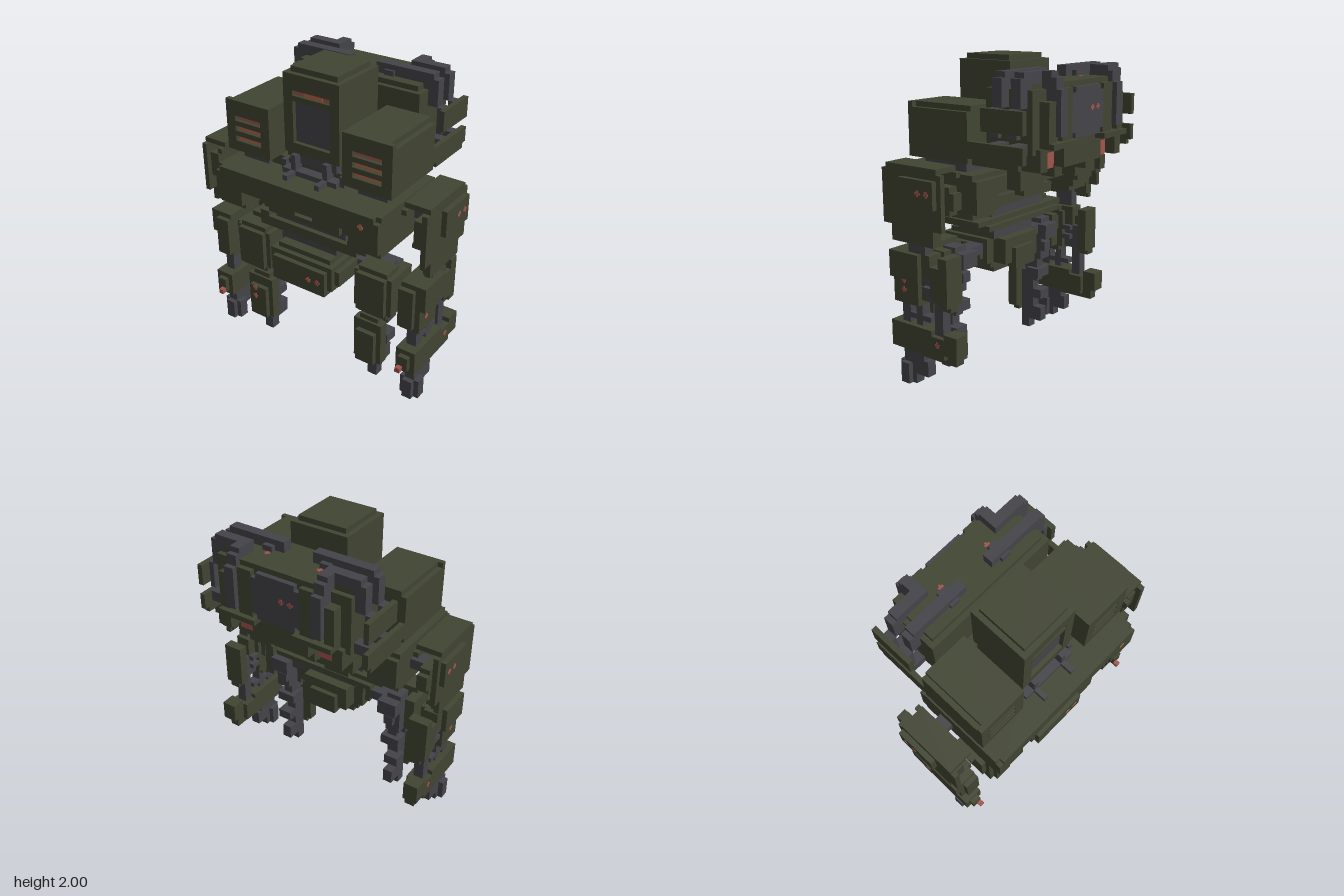
import * as THREE from 'three';
import { mergeGeometries } from 'three/addons/utils/BufferGeometryUtils.js';

const V = 1 / 30; // one block of the grid
const mat = (name, color) => {
  const m = new THREE.MeshStandardMaterial({ color });
  m.name = name;
  return m;
};

export function createModel() {
  const green = mat('olive armour', 0x414532);
  const grey = mat('dark grey metal', 0x444349);
  const red = mat('dull red light', 0xa0544c);
  const orange = mat('orange light', 0xb9644a);
  const root = new THREE.Group();
  root.name = 'walkingMachine';

  // Box from block limits [x0, x1, y0, y1, z0, z1]
  const box = ([a, b, c, d, e, f]) => new THREE.BoxGeometry((b - a) * V, (d - c) * V, (f - e) * V)
    .translate((a + b) / 2 * V, (c + d) / 2 * V, (e + f) / 2 * V);
  const add = (name, m, boxes) => {
    const mesh = new THREE.Mesh(mergeGeometries(boxes.map(box)), m);
    mesh.name = name;
    root.add(mesh);
  };
  // Box with its edges along one axis (0 x, 1 y, 2 z) cut back by a step
  const notch = (b, axis, s = 1) => [0, 1, 2].filter((k) => k !== axis).map((k) => {
    const r = b.slice();
    r[k * 2] += s;
    r[k * 2 + 1] -= s;
    return r;
  });
  const flip = ([a, b, ...r]) => [-b, -a, ...r];
  const pair = (name, m, boxes) => {
    add('left' + name, m, boxes);
    add('right' + name, m, boxes.map(flip));
  };
  // Small cross-shaped lamp, thin along the given axis
  const lamp = (axis, x, y, z) => [0, 1, 2].filter((k) => k !== axis).map((k) => [x, y, z].flatMap((v, i) => {
    const h = i === axis ? 0.08 : i === k ? 0.55 : 0.22;
    return [v - h, v + h];
  }));

  // Central tower with recessed screen and light slot
  add('tower', green, [[-6, 6, 44, 59, -2, 9], [-5, 5, 59, 60, -1, 9], [-6, -4, 44, 59, 9, 10],
    [4, 6, 44, 59, 9, 10], [-4, 4, 56, 59, 9, 10], [-4, 4, 54, 55, 9, 10], [-4, 4, 44, 46, 9, 10]]);
  add('screen', grey, [[-4, 4, 46, 54, 8.9, 9.15]]);
  add('screenLight', red, [[-4, 4, 55, 56, 8.9, 9.3]]);
  add('screenLightCentre', orange, [[-2, 2, 55, 56, 9, 9.4]]);
  pair('TowerCollar', grey, [[6, 7, 40, 42, 7, 10], [0, 6, 40, 41, 9, 11]]);
  add('towerNeck', grey, [[-5, 5, 42, 44, -1, 9.5]]);
  pair('TowerStrut', grey, [[3, 4, 40, 41, 10, 13.5], [3, 4, 41, 44, 9, 11]]);

  // Side pods with slatted windows
  pair('Pod', green, [[8, 18, 42, 51, -2, 11], [8, 17, 51, 52, -2, 12], [8, 10, 42, 52, 11, 12],
    [16, 18, 42, 52, 11, 12], [10, 16, 49, 52, 11, 12], [10, 16, 42, 44, 11, 12],
    [10, 16, 45, 46, 11, 12], [10, 16, 47, 48, 11, 12]]);
  for (const y of [44, 46, 48])
    pair('PodSlat' + (y - 42) / 2, y === 48 ? red : orange, [[10, 16, y, y + 1, 10.9, 11.2]]);
  pair('PodMount', grey, [[10, 16, 40, 42, 0, 10]]);
  add('deck', green, [[-10, 10, 40, 42, -2, 9], [-7, 7, 42, 43, -2, 8]]);

  // Torso slab, skirts and front lamp
  add('torsoSlab', green, [[-17, 17, 37, 40, -3, 16], [-18, 18, 36, 39, -2, 15], [-18, 18, 36, 39, -4, 16]]);
  pair('TorsoSkirt', green, notch([12, 18, 32, 39, -4, 16], 0));
  pair('TorsoSide', green, [[17, 18, 32, 40, -3, 15]]);
  add('torsoLamp', orange, lamp(2, 14.5, 37.6, 16.02));

  // Core under the slab and waist plate
  add('core', grey, [[-8, 8, 29, 36, 1, 11]]);
  add('coreBand', green, [[-10, 10, 32, 34, 0, 12], [-8, -2, 32, 33.8, 12, 13], [2, 8, 32, 33.8, 12, 13], [-2, 2, 32, 33, 12, 13]]);
  add('waistPlate', green, [[-11, 11, 28, 29, -1, 12], [-13, 13, 29, 30, 0, 12]]);
  pair('WaistTab', green, [[9, 11, 30, 31, 2, 12]]);
  add('waist', grey, [[-6, 6, 25, 28, 2, 11]]);

  // Pelvis
  add('pelvis', green, [[-6, 6, 25, 26, 2, 13], [-7, 7, 20, 25, 3, 14], [-8, 8, 21, 24, 4, 13],
    [-6, 6, 19, 24, 3, 15], [-5, 5, 18, 20, 3, 13], [-5, 5, 20, 25, 0, 3], [-3, 3, 19, 23, -1, 1]]);
  add('pelvisLamp', orange, lamp(2, 2.4, 21.6, 15.02));
  add('pelvisSideLamp', red, lamp(2, 4.4, 21.6, 15.02));
  pair('HipAxle', grey, [[7, 13, 22, 24, 4, 7]]);

  // Legs
  pair('Thigh', green, [...notch([10, 18, 16, 26, 7, 11], 2), [11, 17, 17, 25, 11, 12], [16, 18, 18, 25, 4, 7]]);
  pair('ThighCore', grey, [[12, 15, 16, 25, 4, 7], [11, 15, 21, 24, 2, 5], [12, 14, 18, 20, 3, 5], [12, 15, 14, 17, 7, 10]]);
  pair('Knee', grey, [[11, 15, 12, 14, 4, 7], [12, 14, 11, 16, 5, 8]]);
  pair('Shin', green, [[10, 16, 5, 14, 9, 11], [11, 15, 4, 15, 9, 10.5], [11, 15, 5, 12, 11, 12]]);
  pair('Calf', grey, [[12, 14, 4, 13, 6, 9], [12, 15, 7, 9, 4, 7]]);
  pair('LegFoot', grey, [[12, 14, 0, 4, 7, 9], [12, 14, 2, 5, 4, 7]]);
  add('shinLamp', orange, [...lamp(2, -13.6, 11.6, 12.02), ...lamp(2, -13.6, 9.6, 12.02)]);

  // Shoulders
  pair('ShoulderAxle', grey, [[17, 22, 35, 37, 1, 4]]);
  pair('ShoulderPad', green, [[20, 25, 41, 42, -1, 11], [20, 21, 40, 41, -2, 12], [24, 25, 31, 41, -2, 12],
    [23, 25, 29, 36, 0, 10], [24, 25, 28, 31, 0, 10], [25, 26, 35, 40, -1, 7], [22, 24, 34, 39, -3, 11],
    [22, 24, 35, 38, -4, -3]]);
  pair('ShoulderLamp', red, [...lamp(0, 26, 37.6, 2.5), ...lamp(0, 26, 37.6, 0.5)]);
  pair('UpperArm', grey, [[21, 23, 31, 35, 2, 7], [22, 24, 26, 31, 3, 7], [20, 21, 31, 33, 3, 6], [19, 22, 30, 31, 3, 6]]);

  // Forearms
  pair('Forearm', green, [[20, 24, 16, 26, 5, 11], [20, 23, 17, 25, 4, 12], [24, 25, 21, 26, 4, 11],
    [19, 20, 21, 24, 5, 9], [21, 24, 22, 26, 2, 5], [20, 24, 17, 26, -2, 0], [21, 23, 16, 24, -2, 0],
    [22, 24, 18, 24, 0, 2]]);
  pair('ForearmCore', grey, [[21, 23, 17, 22, 0, 5], [20, 24, 19, 20, 2, 4], [20, 24, 21, 22, 2, 4]]);
  pair('ForearmLamp', red, [...lamp(0, 24, 20.4, 8.5), ...lamp(0, 24, 18.6, 8.5)]);
  pair('ForearmStrut', grey, [[21, 23, 11, 16, 8, 10], [21, 23, 11, 16, 5, 6.5], [21, 23, 11, 18, 0, 2], [21, 23, 13, 14, 3, 8]]);

  // Lower arm housings, muzzles and feet
  pair('LowerArm', green, [[20, 24, 7, 11, -1, 11], [21, 24, 8, 12, -4, -1], [20, 24, 7, 12, 2, 12],
    [21, 23, 6, 8, -3, 10], [21, 23, 8, 11, 12, 13]]);
  pair('Muzzle', red, [[21, 22, 8, 9, 13, 14]]);
  pair('LowerArmLamp', red, lamp(0, 24, 9.6, 0.6));
  pair('Ankle', grey, [[21, 23, 3, 8, 5, 10], [21, 23, 2, 5, 4, 7]]);
  pair('ArmFoot', grey, notch([20, 24, 0, 4, 7, 11], 1));

  // Backpack body and connector
  add('packConnector', green, [[-8, 8, 41, 46, -4, -1]]);
  add('pack', green, [[-14, 14, 44, 55, -13, -3], [-13, 13, 44, 56, -12, -4], [-12, 12, 45, 53, -14, -13],
    [-8, 8, 53, 56, -14, -4]]);
  pair('PackRearPanel', green, [[5, 8, 45, 55, -15, -14], [10, 12, 45, 53, -15, -14], [4, 12, 45, 46, -16, -14]]);
  add('rearScreen', grey, notch([-5, 5, 46, 55, -15, -14], 2));
  add('rearScreenLamp', red, [...lamp(2, -1.3, 51, -15), ...lamp(2, -3.1, 51, -15)]);
  pair('PackTopLamp', red, lamp(1, 5.5, 56, -9.6));
  pair('PackSideLamp', red, lamp(0, 14, 53.6, -9.5));

  // Hoses wrapping over the backpack
  pair('FrontHose', grey, [[3, 15, 56, 58, -8, -6], [13, 16, 52, 57, -8, -6], [16, 17, 47, 52, -8, -6], [5, 7, 56, 57, -9, -5.5]]);
  pair('RearHose', grey, [[8, 15, 56, 58, -12, -10], [13, 16, 52, 57, -12, -10], [16, 17, 47, 52, -12, -10],
    [8, 10, 53, 58, -14, -11], [8, 10, 53, 57, -15, -14], [8, 10, 47, 55, -16, -14]]);

  // Separate fins at the sides of the backpack
  pair('UpperFin', green, [[17, 18, 48, 52, -14, -5]]);
  pair('LowerFin', green, [[17, 18, 43, 46, -14, 0], [17, 18, 42, 43, -13, -3]]);
  pair('FinArm', grey, [[13, 17, 44, 46, -8, -6], [13, 17, 44, 46, -12, -10]]);

  // Underside of the backpack with thrusters set in open bays
  add('packBase', green, [[-13, 13, 41, 44, -10, -4], [-6, 6, 41, 45, -14, -10]]);
  pair('PackBaseSide', green, [[11, 13, 41, 45, -14, -10]]);
  pair('ThrusterHousing', green, [[4, 6, 39, 41, -12, -6], [5, 12, 37, 41, -9, -6], [6, 11, 36, 38, -9, -7]]);
  pair('ThrusterGlow', red, [[7, 10, 41, 44, -12.5, -10]]);

  return root;
}
